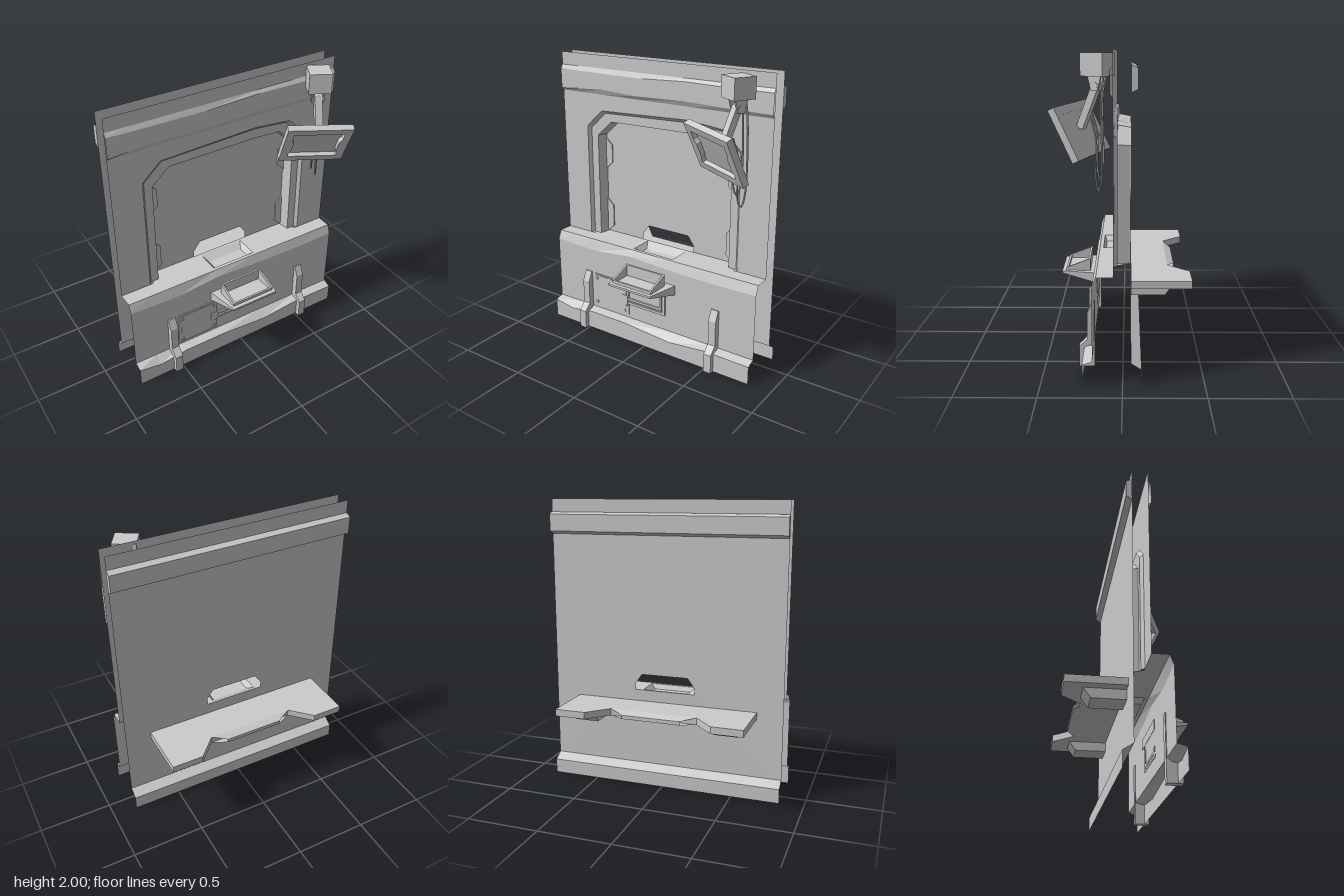
import * as THREE from 'three';

const material = new THREE.MeshStandardMaterial({ color: 0xcccccc, flatShading: true, side: THREE.DoubleSide });
const rad = THREE.MathUtils.degToRad;

export function createModel() {
  const root = new THREE.Group();

  function add(name, geometry, x = 0, y = 0, z = 0, parent = root) {
    const mesh = new THREE.Mesh(geometry, material);
    mesh.name = name;
    mesh.position.set(x, y, z);
    parent.add(mesh);
    return mesh;
  }
  const box = (name, w, h, d, x, y, z, parent) => add(name, new THREE.BoxGeometry(w, h, d), x, y, z, parent);

  // Closed outline from [x, y] pairs, with optional holes
  function outline(points, ...holes) {
    const shape = new THREE.Shape(points.map((p) => new THREE.Vector2(...p)));
    holes.forEach((h) => shape.holes.push(new THREE.Path(h.map((p) => new THREE.Vector2(...p)))));
    return shape;
  }
  const rect = (x0, y0, x1, y1) => [[x0, y0], [x1, y0], [x1, y1], [x0, y1]];
  const extrude = (shape, depth) => new THREE.ExtrudeGeometry(shape, { depth, bevelEnabled: false });
  // Side profile given as [z, y], extruded across x and centred
  const sideProfile = (points, width) =>
    extrude(outline(points.map(([z, y]) => [-z, y])), width).translate(0, 0, -width / 2).rotateY(Math.PI / 2);

  // Faceted surface through rows of [x, y, z] points
  function sheet(rows) {
    const positions = [];
    for (let r = 0; r < rows.length - 1; r++) {
      for (let i = 0; i < rows[r].length - 1; i++) {
        const a = rows[r][i], b = rows[r][i + 1], c = rows[r + 1][i], d = rows[r + 1][i + 1];
        positions.push(...a, ...c, ...b, ...b, ...c, ...d);
      }
    }
    const g = new THREE.BufferGeometry();
    g.setAttribute('position', new THREE.Float32BufferAttribute(positions, 3));
    g.computeVertexNormals();
    return g;
  }
  const W = 0.835;
  const stations = [-W, -0.67, -0.47, -0.17, 0.21, 0.51, W];
  const row = (ys, z) => stations.map((x, i) => [x, Array.isArray(ys) ? ys[i] : ys, z]);

  // Window outline, open at the sill; h = half width, t = top, k = corner size
  const arch = (h, t, k, rise) => [[-h, 0.68], [-h, t - k], [-h + k * 1.1, t], [0.22, t + rise],
    [h - k * 1.1, t], [h, t - k], [h, 0.68]];
  const outer = arch(0.62, 1.615, 0.12, 0.027);

  // Front wall around the window
  add('frontWall', new THREE.ShapeGeometry(outline([[-W, 0.68], ...outer, [W, 0.68], [W, 2], [-W, 2]])), 0, 0, 0.055);

  // Stepped window reveal
  const atZ = (points, z) => points.map(([x, y]) => [x, y, z]);
  add('windowFrame', sheet([
    atZ(outer, 0.056),
    atZ(arch(0.602, 1.597, 0.118, 0.022), 0.033),
    atZ(arch(0.545, 1.54, 0.11, 0.01), 0.033),
    atZ(arch(0.532, 1.525, 0.1, 0.004), -0.048),
  ]));

  // Clips on both sides of the window
  for (const s of [-1, 1]) {
    for (const [y0, y1] of [[0.68, 0.94], [1.17, 1.4]]) {
      add('windowClip', extrude(outline([[s * 0.535, y0], [s * 0.48, y0 + 0.05], [s * 0.48, y1 - 0.05],
        [s * 0.535, y1]]), 0.008), 0, 0, -0.048);
    }
  }

  // Worn header strip on the front
  add('frontHeader', sheet([
    row(1.91, 0.056),
    row([1.885, 1.88, 1.878, 1.875, 1.89, 1.885, 1.885], 0.073),
    row([1.745, 1.757, 1.768, 1.755, 1.765, 1.757, 1.755], 0.073),
    row(1.73, 0.056),
  ]));

  // Lower front panel with flared skirting
  add('lowerPanel', sheet([
    row(0.68, 0.16),
    row([0.62, 0.61, 0.605, 0.635, 0.615, 0.61, 0.615], 0.185),
    row(0.15, 0.185),
    row([0.133, 0.105, 0.133, 0.133, 0.103, 0.133, 0.128], 0.247),
    row(0, 0.247),
  ]));

  // Sill with a sunken dish
  const sill = outline([[-W, 0.055], [-0.6, 0.055], [-0.535, -0.05], [0.535, -0.05], [0.6, 0.055], [W, 0.055],
    [W, 0.16], [-W, 0.16]], rect(-0.165, -0.035, 0.165, 0.135));
  add('sill', new THREE.ShapeGeometry(sill).rotateX(Math.PI / 2), 0, 0.68, 0);
  const ring = (x, z0, z1, y) => [[-x, y, z0], [x, y, z0], [x, y, z1], [-x, y, z1], [-x, y, z0]];
  add('sillDish', sheet([ring(0.165, -0.035, 0.135, 0.68), ring(0.135, 0.02, 0.12, 0.645), ring(0, 0.07, 0.07, 0.645)]));

  // Rear wall with the hatch opening
  const hatch = [[-0.215, 0.68], [0.215, 0.68], [0.215, 0.73], [0.17, 0.793], [-0.165, 0.793], [-0.215, 0.725]];
  add('rearWall', new THREE.ShapeGeometry(outline(rect(-W, 0.14, W, 2), hatch)), 0, 0, -0.05);
  add('rearSkirting', sheet([row(0.14, -0.05), row(0.1, -0.115), row(0, -0.115)]));
  add('rearHeader', sideProfile([[-0.05, 1.91], [-0.06, 1.91], [-0.09, 1.895], [-0.09, 1.78], [-0.05, 1.76]], 2 * W));

  // Rear shelf, its sloping lip and brackets
  const shelf = outline([[-0.655, -0.05], [-0.655, -0.43], [-0.44, -0.43], [-0.305, -0.29], [0.305, -0.29],
    [0.44, -0.43], [0.655, -0.43], [0.655, -0.05]]);
  add('rearShelf', extrude(shelf, 0.048).rotateX(Math.PI / 2), 0, 0.6, 0);
  add('shelfLip', sheet([
    [[-0.305, 0.6, -0.29], [0.305, 0.6, -0.29]],
    [[-0.205, 0.578, -0.34], [0.205, 0.578, -0.34]],
    [[-0.205, 0.552, -0.34], [0.205, 0.552, -0.34]],
    [[-0.305, 0.552, -0.29], [0.305, 0.552, -0.29]],
  ]));
  const bracket = [[-0.05, 0.552], [-0.31, 0.552], [-0.265, 0.488], [-0.05, 0.488]];

  // Front ribs standing over the skirting
  const rib = [[0.18, 0], [0.28, 0], [0.28, 0.135], [0.228, 0.185], [0.228, 0.36], [0.195, 0.43], [0.18, 0.43]];
  for (const s of [-1, 1]) {
    add('shelfBracket', sideProfile(bracket, 0.17), s * 0.5, 0, 0);
    add('rib', sideProfile(rib, 0.055), s * 0.542, 0, 0);
  }

  // Front counter: tapered base narrowing toward the front, with a sloped open tray
  const counter = sideProfile([[0.183, 0.515], [0.183, 0.445], [0.418, 0.502], [0.418, 0.517]], 0.44);
  const p = counter.attributes.position;
  for (let i = 0; i < p.count; i++) p.setX(i, p.getX(i) * (1 - (p.getZ(i) - 0.183) * 0.85));
  counter.computeVertexNormals();
  add('counterBase', counter);
  const tray = [[0.225, 0.515], [0.39, 0.515], [0.39, 0.537], [0.225, 0.6]];
  for (const s of [-1, 1]) add('traySide', sideProfile(tray, 0.014), s * 0.155, 0, 0);
  box('trayBack', 0.31, 0.082, 0.014, 0, 0.557, 0.232);
  box('trayFront', 0.31, 0.022, 0.014, 0, 0.526, 0.383);

  // Service plate with corner screws and a coupling
  add('servicePlate', extrude(outline(rect(-0.49, 0.175, -0.175, 0.425)), 0.008), 0, 0, 0.185);
  box('plateFace', 0.275, 0.235, 0.004, -0.333, 0.3, 0.195);
  for (const x of [-0.46, -0.208]) {
    for (const y of [0.205, 0.395]) {
      add('screw', new THREE.CylinderGeometry(0.011, 0.011, 0.008, 8).rotateX(Math.PI / 2), x, y, 0.2);
    }
  }
  box('coupling', 0.05, 0.075, 0.02, -0.203, 0.293, 0.192);

  // Pair of bent conduits from the plate up to the counter
  for (const [x, y] of [[0.14, 0.262], [0.113, 0.292]]) {
    const w = 0.018;
    add('conduit', extrude(outline([[-0.18, y], [x, y], [x, 0.46], [x - w, 0.46], [x - w, y + w], [-0.18, y + w]]),
      0.014), 0, 0, 0.183);
  }

  // Hanging mount
  const mount = new THREE.Group();
  mount.name = 'monitorMount';
  mount.position.set(0.635, 1.913, 0.147);
  mount.rotation.y = rad(-29);
  root.add(mount);
  box('mountBlock', 0.15, 0.135, 0.15, 0, 0, 0, mount);
  for (const s of [-1, 1]) {
    add('yokePlate', extrude(outline([[-0.045, 0], [0.045, 0], [0.022, -0.085], [-0.022, -0.085]]), 0.014)
      .translate(0, 0, -0.007).rotateY(Math.PI / 2), s * 0.035, -0.0675, 0, mount);
  }
  add('pivot', new THREE.CylinderGeometry(0.026, 0.026, 0.09, 10).rotateZ(Math.PI / 2), 0, -0.125, 0, mount);

  // Arm from the pivot to the back of the monitor
  const from = new THREE.Vector3(0.635, 1.8, 0.15), to = new THREE.Vector3(0.59, 1.54, 0.25);
  const arm = box('monitorArm', 0.05, 0.045, from.distanceTo(to), 0, 0, 0);
  arm.position.copy(from).lerp(to, 0.5);
  arm.lookAt(to);

  // Tilted monitor with a deep bezel
  const monitor = new THREE.Group();
  monitor.name = 'monitor';
  monitor.position.set(0.555, 1.522, 0.257);
  monitor.rotation.set(rad(26), rad(-25), rad(-4), 'YXZ');
  root.add(monitor);
  const opening = [[-0.17, -0.12], [0.17, -0.12], [0.17, -0.09], [0.155, -0.065], [0.155, 0.03], [0.17, 0.055],
    [0.17, 0.12], [-0.17, 0.12], [-0.17, 0.055], [-0.155, 0.03], [-0.155, -0.065], [-0.17, -0.09]];
  add('bezel', extrude(outline(rect(-0.22, -0.17, 0.22, 0.17), opening), 0.045), 0, 0, -0.022, monitor);
  box('screen', 0.36, 0.26, 0.012, 0, 0, -0.014, monitor);

  // Hanging cable loops
  for (const [x, z, bottom, end] of [[0.64, 0.135, 1.235, 1.5], [0.675, 0.142, 1.165, 1.47]]) {
    const path = new THREE.CatmullRomCurve3([
      [x - 0.01, 1.85, z - 0.03], [x + 0.016, 1.72, z - 0.018], [x + 0.016, bottom + 0.06, z - 0.016], [x, bottom, z],
      [x - 0.016, bottom + 0.06, z + 0.016], [x - 0.016, end, z + 0.016], [x - 0.04, end + 0.14, z + 0.05],
    ].map((q) => new THREE.Vector3(...q)));
    add('cable', new THREE.TubeGeometry(path, 40, 0.006, 6));
  }

  return root;
}
